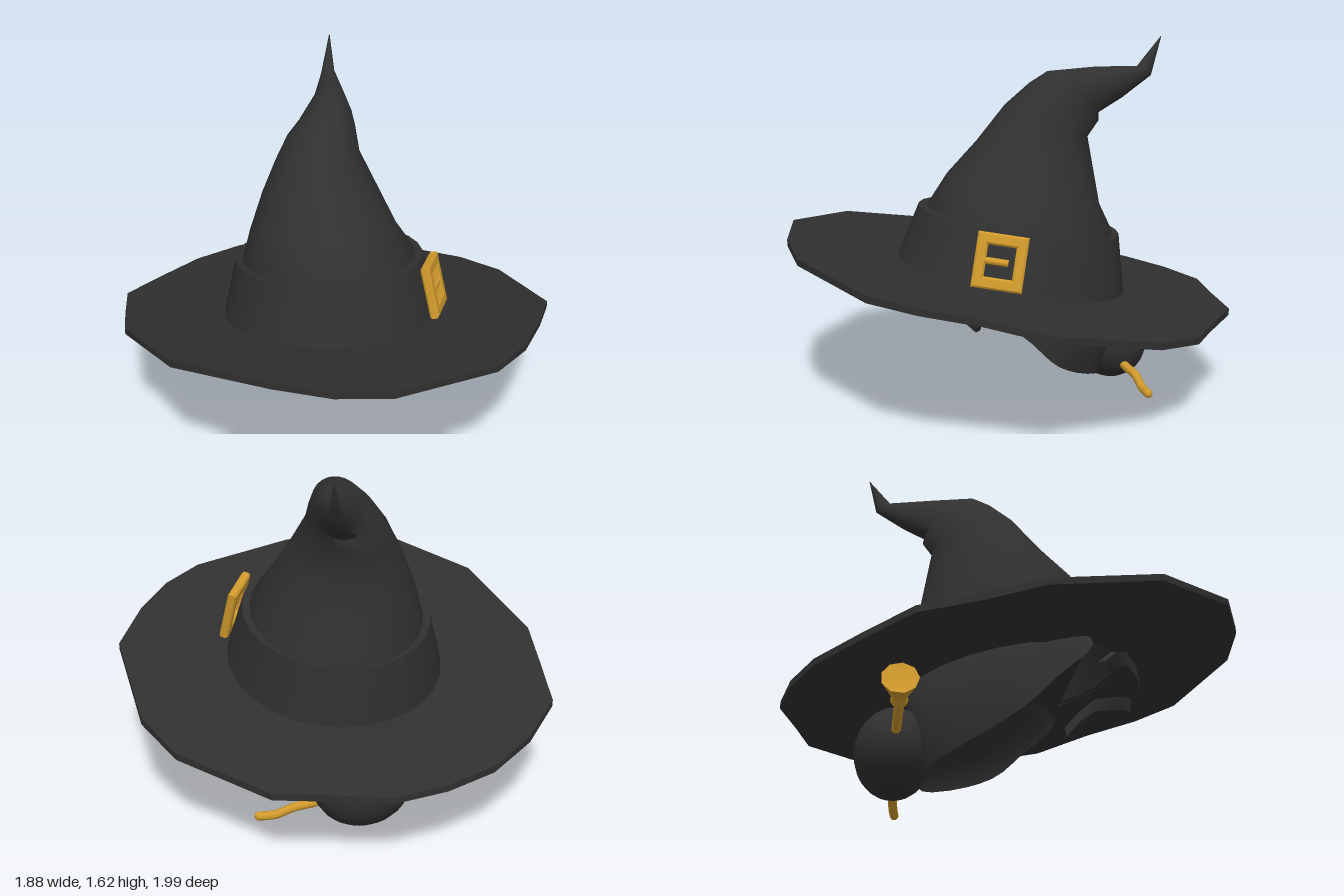
import * as THREE from 'three';
import { toCreasedNormals } from 'three/addons/utils/BufferGeometryUtils.js';

const V = (x, y, z) => new THREE.Vector3(x, y, z);
const dark = new THREE.MeshStandardMaterial({ color: 0x303030, side: THREE.DoubleSide });
dark.name = 'charcoal';
const gold = new THREE.MeshStandardMaterial({ color: 0xd19a2c });
gold.name = 'gold';

// Skins a list of closed rings (each an array of Vector3 of equal length)
function loft(rings, crease, capEnds = false) {
  const n = rings[0].length, pos = [], idx = [];
  rings.forEach(r => r.forEach(p => pos.push(p.x, p.y, p.z)));
  for (let i = 0; i < rings.length - 1; i++) {
    for (let j = 0; j < n; j++) {
      const k = (j + 1) % n, a = i * n, b = a + n;
      idx.push(a + j, b + j, a + k, b + j, b + k, a + k);
    }
  }
  if (capEnds) {
    const e = (rings.length - 1) * n;
    for (let j = 1; j < n - 1; j++) idx.push(0, j, j + 1, e, e + j + 1, e + j);
  }
  const g = new THREE.BufferGeometry();
  g.setAttribute('position', new THREE.Float32BufferAttribute(pos, 3));
  g.setIndex(idx);
  return toCreasedNormals(g, crease);
}

// Tilted ellipse through a front and a back point, both given as [z, y]
function ring(front, back, xc, rx, n = 28) {
  return Array.from({ length: n }, (_, i) => {
    const a = i / n * Math.PI * 2, s = (1 + Math.sin(a)) / 2;
    return V(xc + rx * Math.cos(a),
      THREE.MathUtils.lerp(back[1], front[1], s),
      THREE.MathUtils.lerp(back[0], front[0], s));
  });
}

export function createModel() {
  const model = new THREE.Group();
  const add = (name, geo, mat, parent = model) => {
    const m = new THREE.Mesh(geo, mat);
    m.name = name;
    parent.add(m);
    return m;
  };

  // Brim: uneven polygonal slab, tilted down to the back
  const edge = [
    [.94, .61, .27], [.81, .67, .5], [.66, .70, .71], [.48, .72, .86], [0, .76, .99],
    [-.24, .78, .96], [-.47, .80, .86], [-.81, .72, .49], [-.94, .60, 0], [-.91, .53, -.25],
    [-.87, .48, -.5], [-.69, .43, -.7], [-.47, .41, -.87], [-.24, .405, -.96], [0, .405, -1],
    [.24, .41, -.93], [.47, .415, -.87], [.65, .42, -.65], [.8, .44, -.5], [.91, .49, -.25],
  ].map(p => V(...p));
  const inner = edge.map(p => {
    const a = Math.atan2(p.z, p.x), z = .49 * Math.sin(a);
    return V(.46 * Math.cos(a), .575 + .2 * z, z);
  });
  const lower = r => r.map(p => V(p.x, p.y - .03, p.z));
  add('brim', loft([lower(inner), lower(edge), edge, inner], .5), dark);

  // Hat band with a narrow ledge on top
  add('hatBand', loft([
    ring([.51, .67], [-.52, .46], 0, .485),
    ring([.41, .905], [-.5, .735], 0, .418),
    ring([.365, .9], [-.465, .73], 0, .385),
  ], .6), dark);

  // Crooked cone: bends back and to one side, ending in a pointed tip
  add('hatCone', loft([
    ring([.375, .87], [-.47, .70], 0, .39),
    ring([.37, .90], [-.46, .77], 0, .38),
    ring([.27, 1.03], [-.42, .87], -.02, .325),
    ring([.13, 1.17], [-.39, 1.05], -.02, .255),
    ring([0, 1.33], [-.37, 1.17], -.015, .185),
    ring([-.1, 1.43], [-.41, 1.24], .02, .15),
    ring([-.17, 1.48], [-.4, 1.28], .045, .12),
    ring([-.38, 1.495], [-.5, 1.35], .1, .065),
    ring([-.56, 1.49], [-.625, 1.445], .137, .03),
    ring([-.66, 1.62], [-.662, 1.618], .162, .002),
  ], 1), dark);

  // Buckle: rectangular frame and prong, laid against the band
  const buckle = new THREE.Group();
  buckle.name = 'buckle';
  const rect = (p, w, h) => {
    p.moveTo(-w, -h); p.lineTo(w, -h); p.lineTo(w, h); p.lineTo(-w, h); p.closePath();
    return p;
  };
  const frame = rect(new THREE.Shape(), .1, .11);
  frame.holes.push(rect(new THREE.Path(), .068, .076));
  const bevel = { bevelEnabled: true, bevelThickness: .008, bevelSize: .008, bevelSegments: 1 };
  add('buckleFrame', new THREE.ExtrudeGeometry(frame, { depth: .025, ...bevel }), gold, buckle);
  const prong = add('bucklePronge'.slice(0, -1), new THREE.CylinderGeometry(.015, .015, .12, 8), gold, buckle);
  prong.rotation.z = Math.PI / 2;
  prong.position.set(-.025, 0, .02);
  const bx = V(.105, -.03, -.19).normalize();
  const bz = bx.clone().cross(V(-.035, .22, -.06)).normalize();
  buckle.quaternion.setFromRotationMatrix(
    new THREE.Matrix4().makeBasis(bx, bz.clone().cross(bx), bz));
  buckle.position.set(.395, .755, .233);
  model.add(buckle);

  // Hair: cap behind a slanted, slightly hollow face opening
  const half = [[.28, .6, .27], [.42, .6, .27], [.46, .54, .265], [.47, .4, .12],
    [.45, .28, 0], [.37, .19, -.15], [.2, .1, -.35]];
  const rim = new THREE.CatmullRomCurve3([
    V(0, .6, .27), ...half.map(([x, y, z]) => V(-x, y, z)),
    V(0, .07, -.4), ...half.slice().reverse().map(p => V(...p)),
  ], true).getPoints(40).slice(0, 40);
  const centre = V(0, .38, -.05), out = V(0, .8, -.55);
  const dome = (a, depth) => rim.map(p => p.clone().sub(centre).multiplyScalar(Math.cos(a))
    .add(centre).addScaledVector(out, depth * Math.sin(a)));
  const steps = [0, .2, .4, .6, .8, .99].map(t => t * Math.PI / 2);
  add('hair', loft([
    ...steps.slice().reverse().map(a => dome(a, .13)),
    ...steps.slice(1).map(a => dome(a, .43)),
  ], .9), dark);

  // Bun at the nape
  const bun = add('hairBun', new THREE.SphereGeometry(1, 20, 14), dark);
  bun.scale.set(.22, .195, .17);
  bun.position.set(0, .195, -.51);

  // Arched eyebrows
  const brow = [[.09, .523, .54], [.19, .56, .50], [.27, .58, .44], [.33, .545, .38], [.375, .48, .32]];
  for (const s of [1, -1]) {
    const rings = brow.map(([x, y, z], i) => {
      const h = .03, lean = [.008, .006, 0, -.02, -.018][i];
      return [[-1, 1], [1, 1], [1, -1], [-1, -1]].map(([u, v]) =>
        V(s * (x - v * lean + u * .008), y + v * h, z + u * .014));
    });
    add(s > 0 ? 'leftEyebrow' : 'rightEyebrow', loft(rings, .5, true), dark);
  }

  // Small broom pinned through the bun
  const broom = new THREE.Group();
  broom.name = 'broomHairpin';
  const path = new THREE.CatmullRomCurve3([V(.45, .066, -.47), V(.38, .068, -.48),
    V(.3, .1, -.49), V(.2, .112, -.49), V(0, .18, -.51), V(-.42, .265, -.52)]);
  add('broomHandle', new THREE.TubeGeometry(path, 24, .02, 8), gold, broom);
  const endCap = add('broomHandleEnd', new THREE.SphereGeometry(.02, 8, 6), gold, broom);
  endCap.position.set(.45, .066, -.47);
  const profile = [[0, 0], [.03, 0], [.038, .02], [.03, .04], [.045, .08], [.078, .16], [0, .15]]
    .map(p => new THREE.Vector2(...p));
  const bristles = add('broomBristles',
    toCreasedNormals(new THREE.LatheGeometry(profile, 9), .5), gold, broom);
  bristles.position.set(-.41, .265, -.52);
  bristles.quaternion.setFromUnitVectors(V(0, 1, 0), V(-.16, .047, -.01).normalize());
  model.add(broom);

  return model;
}
